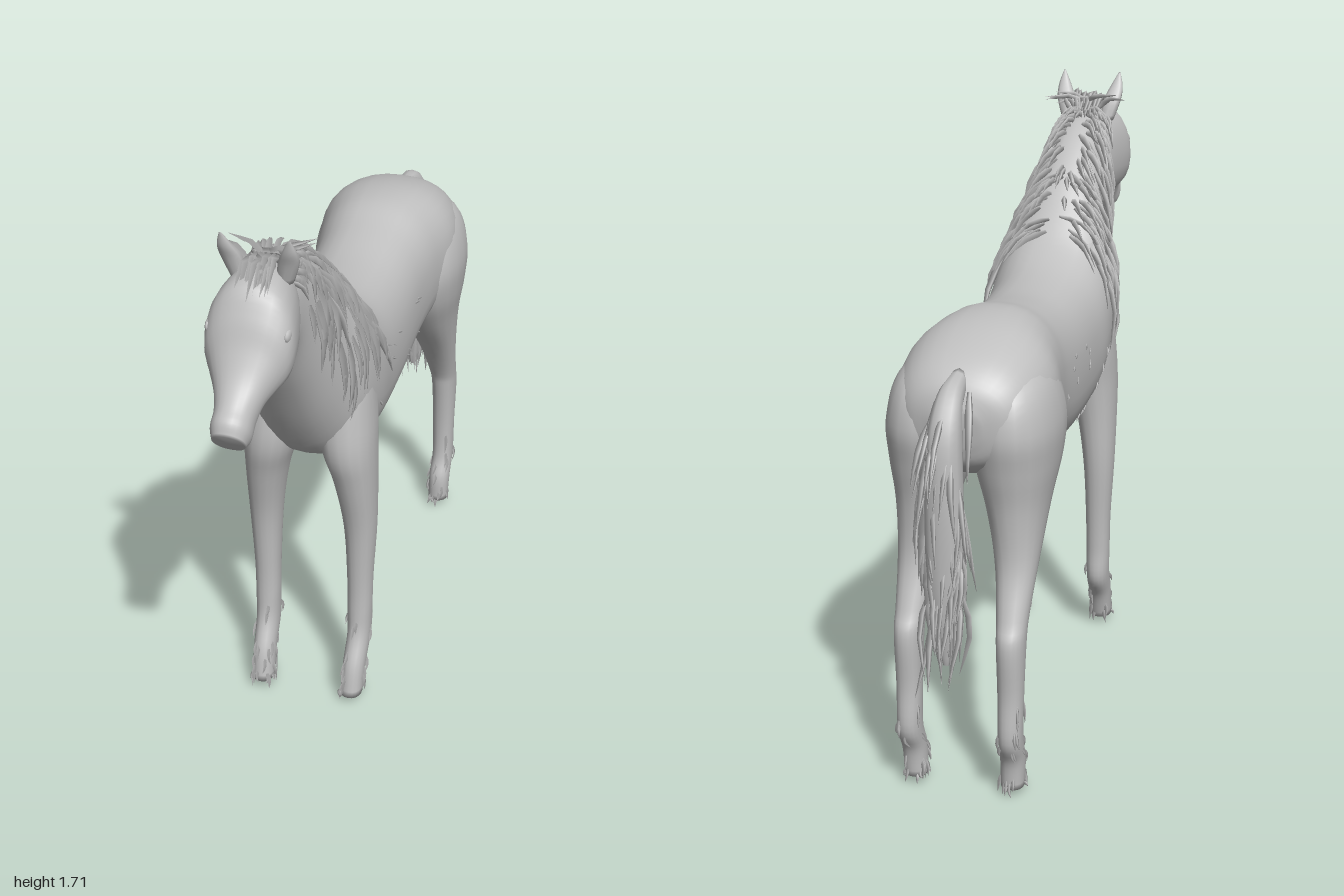
import * as THREE from 'three';
import { mergeGeometries } from 'three/addons/utils/BufferGeometryUtils.js';

// Seeded random numbers
let seed = 7;
const rnd = (a = 0, b = 1) => {
  seed = (seed * 16807) % 2147483647;
  return a + (b - a) * (seed / 2147483647);
};
const V = (x, y, z) => new THREE.Vector3(x, y, z);

// Smooth surface through sections [zUpper, yUpper, zLower, yLower, halfWidth, xCentre]
function surface(sections, power = 0.9) {
  const spline = (f) => new THREE.CatmullRomCurve3(sections.map(f), false, 'catmullrom', 0.5);
  const upper = spline((s) => V(s[5] || 0, s[1], s[0]));
  const lower = spline((s) => V(s[5] || 0, s[3], s[2]));
  const width = spline((s, i) => V(s[4], i, 0));
  const bend = (v) => Math.sign(v) * Math.abs(v) ** power;
  return (t, a, lift = 0) => {
    t = THREE.MathUtils.clamp(t, 0, 1);
    const p = upper.getPoint(t), q = lower.getPoint(t);
    const mid = p.clone().add(q).multiplyScalar(0.5);
    const out = p.sub(q).multiplyScalar(0.5 * bend(Math.cos(a)));
    out.x += width.getPoint(t).x * bend(Math.sin(a));
    out.setLength(out.length() + lift);
    return mid.add(out);
  };
}

// Closed skin over a surface function
function skin(surf, rows, cols) {
  const pos = [], idx = [];
  for (let i = 0; i <= rows; i++) {
    for (let j = 0; j < cols; j++) pos.push(...surf(i / rows, (j / cols) * Math.PI * 2).toArray());
  }
  for (let i = 0; i < rows; i++) {
    for (let j = 0; j < cols; j++) {
      const k = (j + 1) % cols, a = i * cols, b = a + cols;
      idx.push(a + j, b + j, a + k, a + k, b + j, b + k);
    }
  }
  for (const [row, end] of [[0, 0], [rows, 1]]) {
    const c = pos.length / 3, a = row * cols;
    pos.push(...surf(end, 0).add(surf(end, Math.PI)).multiplyScalar(0.5).toArray());
    for (let j = 0; j < cols; j++) {
      const k = (j + 1) % cols;
      idx.push(c, ...(end ? [a + k, a + j] : [a + j, a + k]));
    }
  }
  const g = new THREE.BufferGeometry();
  g.setAttribute('position', new THREE.Float32BufferAttribute(pos, 3));
  g.setIndex(idx);
  g.computeVertexNormals();
  return g;
}

// Thin three-sided lock of hair, tapered to its tip
function strand(points, r) {
  const curve = new THREE.CatmullRomCurve3(points);
  const g = new THREE.TubeGeometry(curve, 4, r, 3);
  const p = g.attributes.position, v = new THREE.Vector3();
  const taper = [0.5, 1, 0.85, 0.5, 0.02];
  for (let i = 0; i < p.count; i++) {
    const ring = Math.floor(i / 4), c = curve.getPointAt(ring / 4);
    v.fromBufferAttribute(p, i).sub(c).multiplyScalar(taper[ring]).add(c);
    p.setXYZ(i, v.x, v.y, v.z);
  }
  return g;
}

export function createModel() {
  seed = 7;
  const group = new THREE.Group();
  const grey = new THREE.MeshStandardMaterial({ color: 0xc0c0c0, side: THREE.DoubleSide });
  grey.name = 'plainGrey';
  const add = (name, geometry) => {
    const mesh = new THREE.Mesh(geometry, grey);
    mesh.name = name;
    group.add(mesh);
    return mesh;
  };

  // Rump, barrel, chest and neck
  const body = surface([
    [-0.785, 1.13, -0.775, 1.03, 0.06], [-0.755, 1.2, -0.75, 0.97, 0.14],
    [-0.68, 1.255, -0.67, 0.92, 0.19], [-0.54, 1.295, -0.54, 0.87, 0.215],
    [-0.4, 1.3, -0.4, 0.84, 0.192], [-0.27, 1.27, -0.28, 0.81, 0.178],
    [-0.1, 1.245, -0.1, 0.78, 0.178], [0.08, 1.255, 0.06, 0.775, 0.18],
    [0.2, 1.3, 0.2, 0.8, 0.186], [0.29, 1.385, 0.34, 0.85, 0.174],
    [0.36, 1.46, 0.44, 0.98, 0.14], [0.47, 1.55, 0.55, 1.18, 0.105],
    [0.57, 1.6, 0.63, 1.32, 0.088], [0.69, 1.615, 0.7, 1.33, 0.08],
  ], 0.85);
  add('body', skin(body, 65, 32));

  // Head, from poll to muzzle
  add('head', skin(surface([
    [0.6, 1.59, 0.62, 1.34, 0.07], [0.68, 1.625, 0.68, 1.318, 0.095],
    [0.78, 1.615, 0.755, 1.315, 0.114], [0.83, 1.55, 0.8, 1.32, 0.112],
    [0.865, 1.475, 0.83, 1.315, 0.09], [0.905, 1.41, 0.862, 1.3, 0.066],
    [0.95, 1.365, 0.885, 1.265, 0.053], [0.985, 1.34, 0.915, 1.237, 0.052],
    [1.0, 1.305, 0.945, 1.235, 0.042],
  ]), 40, 24));

  const tufts = [];
  for (const s of [1, -1]) {
    const side = s > 0 ? 'left' : 'right';

    // Ear and eye
    add(side + 'Ear', skin(surface([
      [0.742, 1.72, 0.738, 1.718, 0.003, s * 0.088], [0.738, 1.68, 0.71, 1.68, 0.019, s * 0.083],
      [0.725, 1.64, 0.68, 1.64, 0.027, s * 0.074], [0.71, 1.58, 0.66, 1.58, 0.022, s * 0.06],
    ]), 12, 10));
    const eye = add(side + 'Eye', new THREE.SphereGeometry(0.022, 12, 8));
    eye.scale.set(0.4, 0.8, 1.1);
    eye.position.set(s * 0.102, 1.495, 0.8);

    // Front leg, its shoulder sinking into the chest
    const front = surface([
      [0.32, 1.3, 0.22, 1.3, 0.03, s * 0.09], [0.36, 1.14, 0.18, 1.14, 0.068, s * 0.1],
      [0.392, 0.98, 0.17, 0.98, 0.08, s * 0.105],
      [0.4, 0.87, 0.19, 0.87, 0.075, s * 0.115], [0.375, 0.76, 0.205, 0.76, 0.06, s * 0.131],
      [0.34, 0.6, 0.215, 0.6, 0.047, s * 0.142], [0.325, 0.42, 0.23, 0.42, 0.038, s * 0.142],
      [0.325, 0.3, 0.235, 0.3, 0.036, s * 0.142], [0.335, 0.22, 0.235, 0.2, 0.034, s * 0.142],
      [0.375, 0.13, 0.285, 0.12, 0.033, s * 0.14], [0.395, 0.035, 0.315, 0.035, 0.032, s * 0.138],
    ]);
    add(side + 'FrontLeg', skin(front, 50, 18));

    // Hind leg with haunch
    const hind = surface([
      [-0.5, 1.25, -0.6, 1.25, 0.03, s * 0.09], [-0.42, 1.17, -0.73, 1.17, 0.088, s * 0.112],
      [-0.375, 1.06, -0.77, 1.06, 0.117, s * 0.116], [-0.4, 0.95, -0.755, 0.95, 0.11, s * 0.118],
      [-0.48, 0.83, -0.735, 0.83, 0.083, s * 0.125], [-0.6, 0.68, -0.735, 0.68, 0.058, s * 0.135],
      [-0.68, 0.55, -0.78, 0.55, 0.043, s * 0.14], [-0.7, 0.48, -0.81, 0.48, 0.039, s * 0.142],
      [-0.72, 0.33, -0.803, 0.33, 0.035, s * 0.142], [-0.72, 0.2, -0.81, 0.2, 0.033, s * 0.142],
      [-0.695, 0.12, -0.775, 0.12, 0.034, s * 0.14], [-0.695, 0.035, -0.765, 0.035, 0.032, s * 0.138],
    ]);
    add(side + 'HindLeg', skin(hind, 55, 20));

    // Ragged hair around the feet
    for (const leg of [front, hind]) {
      for (let i = 0; i < 30; i++) {
        const t = i < 16 ? rnd(0.93, 1) : rnd(0.72, 0.93), a = rnd(0, 6.28);
        const tip = leg(t + 0.05, a + rnd(-0.2, 0.2), rnd(0.002, 0.01));
        if (i < 16) tip.y = Math.max(0.01, tip.y - rnd(0, 0.025));
        tufts.push(strand([leg(t, a, -0.003), leg(t + 0.025, a, 0.004), tip], 0.006));
      }
    }
  }
  add('footHair', mergeGeometries(tufts));

  // Mane lying down both sides of the neck
  const mane = [];
  for (let i = 0; i < 190; i++) {
    const k = rnd(8.3, 13), s = i % 2 ? 1 : -1;
    const reach = k > 12 ? 0.9 : k > 9.2 ? 1.6 : 1.1;
    const a = rnd(0, reach), da = rnd(0.4, 0.7), dk = rnd(0.25, 0.7);
    mane.push(strand([
      body(k / 13, s * a, 0.002), body((k - dk * 0.5) / 13, s * (a + da * 0.5), rnd(0.01, 0.02)),
      body((k - dk) / 13, s * (a + da), rnd(0.006, 0.018)),
    ], rnd(0.008, 0.012)));
  }
  // Raised locks along the crest
  for (let i = 0; i < 44; i++) {
    const k = rnd(8.8, 13), a = rnd(-0.35, 0.35);
    mane.push(strand([
      body(k / 13, a, -0.005), body((k - 0.35) / 13, a * 1.4, 0.024), body((k - 0.75) / 13, a * 2, 0.028),
    ], 0.01));
  }
  add('mane', mergeGeometries(mane));

  // Sparse short hairs on flanks and belly
  const coat = [];
  for (let i = 0; i < 44; i++) {
    const k = rnd(5, 8.2), a = (i % 2 ? 1 : -1) * (i < 28 ? rnd(1.2, 2.5) : rnd(2.5, 3.1));
    coat.push(strand([
      body(k / 13, a, -0.003), body((k - 0.08) / 13, a * 1.02, 0.002), body((k - 0.16) / 13, a * 1.04, 0.004),
    ], 0.004));
  }
  add('coatHair', mergeGeometries(coat));

  // Forelock
  const forelock = [];
  for (let i = 0; i < 24; i++) {
    const x = rnd(-0.04, 0.04), wide = i < 8;
    const root = V(x, 1.615, rnd(0.62, 0.7));
    forelock.push(strand(wide
      ? [root, V(x * 2, 1.65, 0.67), V(Math.sign(x) * rnd(0.07, 0.13), rnd(1.62, 1.67), rnd(0.58, 0.68))]
      : [root, V(x * 1.2, rnd(1.64, 1.66), 0.73), V(x * 1.3, rnd(1.56, 1.61), rnd(0.795, 0.82))], 0.01));
  }
  add('forelock', mergeGeometries(forelock));

  // Tail core and its hanging locks
  add('tail', skin(surface([
    [-0.76, 1.15, -0.72, 1.23, 0.025], [-0.8, 1.13, -0.83, 1.205, 0.035],
    [-0.815, 1.05, -0.905, 1.11, 0.045], [-0.825, 0.92, -0.92, 0.95, 0.05],
    [-0.835, 0.75, -0.915, 0.75, 0.05], [-0.845, 0.58, -0.905, 0.58, 0.032],
    [-0.875, 0.46, -0.885, 0.46, 0.008],
  ]), 30, 12));
  const tail = [];
  for (let i = 0; i < 110; i++) {
    const f = rnd(), y = 1.2 - 0.58 * f, x = rnd(-0.045, 0.045);
    const z0 = f < 0.2 ? -0.76 - f * 0.6 : -0.875;
    const drop = rnd(0.16, 0.28), z2 = f < 0.25 ? rnd(-0.96, -0.84) : rnd(-0.94, -0.83);
    const spread = f < 0.5 ? 1.6 : 0.9;
    tail.push(strand([
      V(x, y, z0), V(x * 1.4, y - drop * 0.4, (z0 + z2) / 2 - (f < 0.25 ? 0.02 : 0)),
      V(x * spread + rnd(-0.015, 0.015), Math.max(0.4, y - drop), z2),
    ], rnd(0.009, 0.013)));
  }
  tail.push(strand([V(0, 1.16, -0.86), V(0, 1.1, -0.94), V(0, 0.99, -0.995)], 0.01));
  tail.push(strand([V(0.03, 0.6, -0.88), V(0.05, 0.48, -0.9), V(0.075, 0.37, -0.92)], 0.01));
  add('tailHair', mergeGeometries(tail));

  return group;
}
